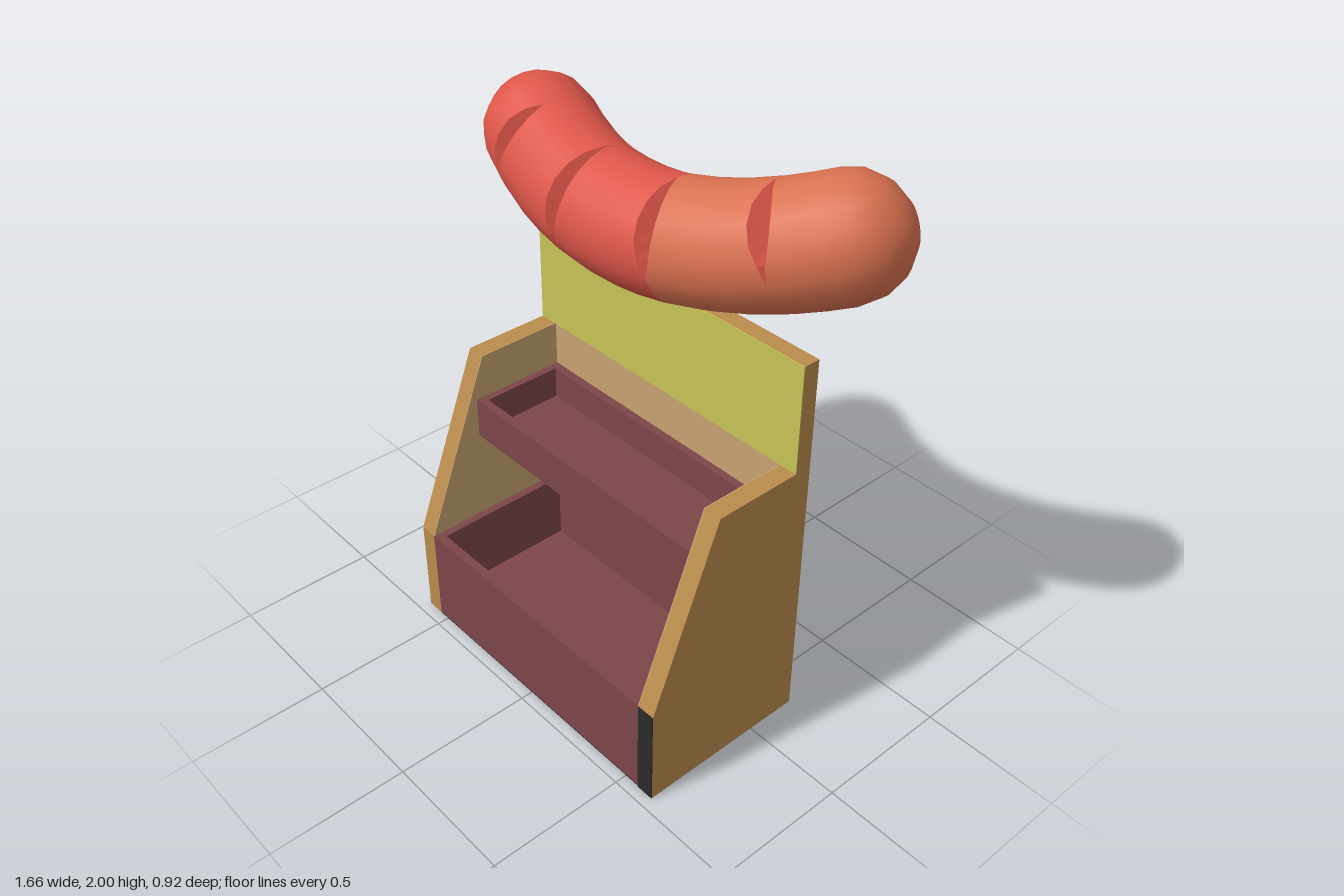
import * as THREE from 'three';

const mat = (name, color, side = THREE.FrontSide) => {
  const m = new THREE.MeshStandardMaterial({ color, side });
  m.name = name;
  return m;
};
const WOOD = mat('wood', 0xb98c4d);
const TAN = mat('light wood', 0xc8a371);
const MAROON = mat('maroon', 0x7c4549);
const YELLOW = mat('mustard', 0xc8c458);
const BLACK = mat('black', 0x2b2b2b);
const RED = mat('red sausage', 0xdf564a, THREE.DoubleSide);
const ORANGE = mat('orange sausage', 0xd97150, THREE.DoubleSide);

// Main cabinet dimensions
const X0 = -0.61, X1 = 0.627, IN0 = -0.543, IN1 = 0.56;
const FRONT = 0.455, BACK = -0.19, WALL = -0.13;
const BASE = 0.372, SHOULDER = 1.03, TOP = 1.425;

function add(group, name, geometry, material) {
  const mesh = new THREE.Mesh(geometry, material);
  mesh.name = name;
  group.add(mesh);
  return mesh;
}

// Box given by its limits on each axis
function block(group, name, material, [xa, xb], [ya, yb], [za, zb]) {
  const mesh = add(group, name, new THREE.BoxGeometry(xb - xa, yb - ya, zb - za), material);
  mesh.position.set((xa + xb) / 2, (ya + yb) / 2, (za + zb) / 2);
}

// Upright board: a (z, y) profile given thickness between two x positions
function board(group, name, material, profile, xa, xb) {
  const shape = new THREE.Shape(profile.map(([z, y]) => new THREE.Vector2(z, y)));
  const geo = new THREE.ExtrudeGeometry(shape, { depth: xb - xa, bevelEnabled: false });
  geo.rotateY(-Math.PI / 2).translate(xb, 0, 0);
  add(group, name, geo, material);
}

// Open tray: a rim with a rectangular opening, and a floor inside it
function tray(group, name, [ya, yb], [za, zb], floorY, rim) {
  const rect = (S, i) => new S([
    new THREE.Vector2(IN0 + i, -zb + i), new THREE.Vector2(IN1 - i, -zb + i),
    new THREE.Vector2(IN1 - i, -za - i), new THREE.Vector2(IN0 + i, -za - i)]);
  const shape = rect(THREE.Shape, 0);
  shape.holes.push(rect(THREE.Path, rim));
  const geo = new THREE.ExtrudeGeometry(shape, { depth: yb - ya, bevelEnabled: false });
  geo.rotateX(-Math.PI / 2).translate(0, ya, 0);
  add(group, name + 'Rim', geo, MAROON);
  block(group, name + 'Floor', MAROON, [IN0 + rim, IN1 - rim], [ya, floorY], [za + rim, zb - rim]);
}

function buildStand() {
  const g = new THREE.Group();
  g.name = 'stand';
  const side = [[FRONT, 0], [FRONT, BASE], [0.195, SHOULDER], [WALL, SHOULDER], [WALL, TOP], [BACK, TOP], [BACK, 0]];
  const lining = [[FRONT, BASE], [0.195, SHOULDER], [WALL, SHOULDER], [WALL, BASE]];
  board(g, 'rightSide', WOOD, side, X0, IN0);
  board(g, 'leftSide', WOOD, side, IN1, X1);
  board(g, 'rightLining', TAN, lining, IN0, IN0 + 0.003);
  board(g, 'leftLining', TAN, lining, IN1 - 0.003, IN1);

  // Back wall: light inside, wood outside, black kick panel and underside
  block(g, 'backWall', [WOOD, WOOD, WOOD, WOOD, TAN, WOOD], [IN0, IN1], [BASE, TOP], [BACK, WALL]);
  block(g, 'backKickPanel', BLACK, [IN0, IN1], [0, BASE], [BACK, WALL]);
  block(g, 'underside', BLACK, [IN0, IN1], [0, 0.004], [WALL, FRONT]);
  block(g, 'headerPanel', YELLOW, [X0, X1], [SHOULDER, TOP], [WALL, WALL + 0.003]);
  block(g, 'frontKickPlate', BLACK, [IN1, X1], [0, BASE], [FRONT, FRONT + 0.003]);

  tray(g, 'lowerTray', [0.004, BASE], [WALL, FRONT], 0.11, 0.032);
  tray(g, 'upperTray', [0.712, 0.864], [WALL, 0.23], 0.745, 0.03);
  return g;
}

// Sausage: rings along a gently bent axis, with round ends and V-shaped cuts
const R = 0.199, SIDES = 20;
const HALF_WIDTH = 0.032, DEPTH = 0.055, ENDS = [-0.64, 0.63];
const CUTS = [ // axis position, middle angle and half spread in degrees
  { x: -0.55, mid: 26, spread: 46 }, { x: -0.235, mid: 32, spread: 62 },
  { x: 0.13, mid: 35, spread: 54 }, { x: 0.475, mid: 38, spread: 46 }];

function frame(x) {
  const c = new THREE.Vector3(x, 1.632 + 0.315 * (x + 0.111) ** 2, -0.085 - 0.333 * (x + 0.105) ** 2);
  const t = new THREE.Vector3(1, 0.63 * (x + 0.111), -0.666 * (x + 0.105)).normalize();
  const f = new THREE.Vector3(0, 0, 1).addScaledVector(t, -t.z).normalize();
  return { c, t, f, u: new THREE.Vector3().crossVectors(f, t) };
}

function ring(x, { tilt = 0, cut = null, step = 0 } = {}) {
  const out = { x, cut, pts: [], nrm: [], k: [] };
  for (let j = 0; j <= SIDES; j++) {
    const a = (j / SIDES) * 2 * Math.PI - Math.PI;
    const k = cut ? Math.max(0, 1 - (Math.abs(a * 180 / Math.PI - cut.mid) / cut.spread) ** 2) : 0;
    const { c, t, f, u } = frame(x + step * HALF_WIDTH * k);
    const n = f.multiplyScalar(Math.cos(a)).addScaledVector(u, Math.sin(a));
    n.multiplyScalar(Math.cos(tilt)).addScaledVector(t, Math.sin(tilt));
    const r = R - (cut && step === 0 ? DEPTH * k : 0);
    out.pts.push(c.addScaledVector(n, r));
    out.nrm.push(n);
    out.k.push(k);
  }
  return out;
}

function buildSausage() {
  const g = new THREE.Group();
  g.name = 'sausage';
  const body = [-0.42, -0.33, -0.14, -0.04, 0.04, 0.25, 0.36, 0.56].map((x) => [ring(x)]);
  const cuts = CUTS.map((cut) => [-1, 0, 1].map((step) => ring(cut.x, { cut, step })));
  const middle = [...body, ...cuts].sort((a, b) => a[0].x - b[0].x).flat();
  const caps = [0, 1, 2, 3, 4].map((i) => i * Math.PI / 8);
  const rings = [
    ...caps.map((t) => ring(ENDS[0], { tilt: -t })).reverse(),
    ...middle,
    ...caps.map((t) => ring(ENDS[1], { tilt: t }))];

  const parts = { red: [[], []], orange: [[], []], cut: [[], []] };
  for (let i = 0; i < rings.length - 1; i++) {
    const a = rings[i], b = rings[i + 1];
    const inCut = a.cut && a.cut === b.cut;
    const [pos, nrm] = parts[inCut ? 'cut' : (a.x + b.x) / 2 < 0.1 ? 'red' : 'orange'];
    for (let j = 0; j < SIDES; j++) {
      if (inCut && a.k[j] + a.k[j + 1] === 0) continue;
      const quad = [[a, j], [b, j], [b, j + 1], [a, j], [b, j + 1], [a, j + 1]];
      for (const [r, s] of quad) {
        pos.push(...r.pts[s].toArray());
        nrm.push(...r.nrm[s].toArray());
      }
    }
  }
  const surface = (name, [pos, nrm], material, flat) => {
    const geo = new THREE.BufferGeometry();
    geo.setAttribute('position', new THREE.Float32BufferAttribute(pos, 3));
    geo.setAttribute('normal', new THREE.Float32BufferAttribute(nrm, 3));
    if (flat) geo.computeVertexNormals();
    add(g, name, geo, material);
  };
  surface('rightHalf', parts.red, RED);
  surface('leftHalf', parts.orange, ORANGE);
  surface('cuts', parts.cut, RED, true);
  return g;
}

export function createModel() {
  const model = new THREE.Group();
  model.name = 'sausageStand';
  model.add(buildStand(), buildSausage());
  return model;
}
